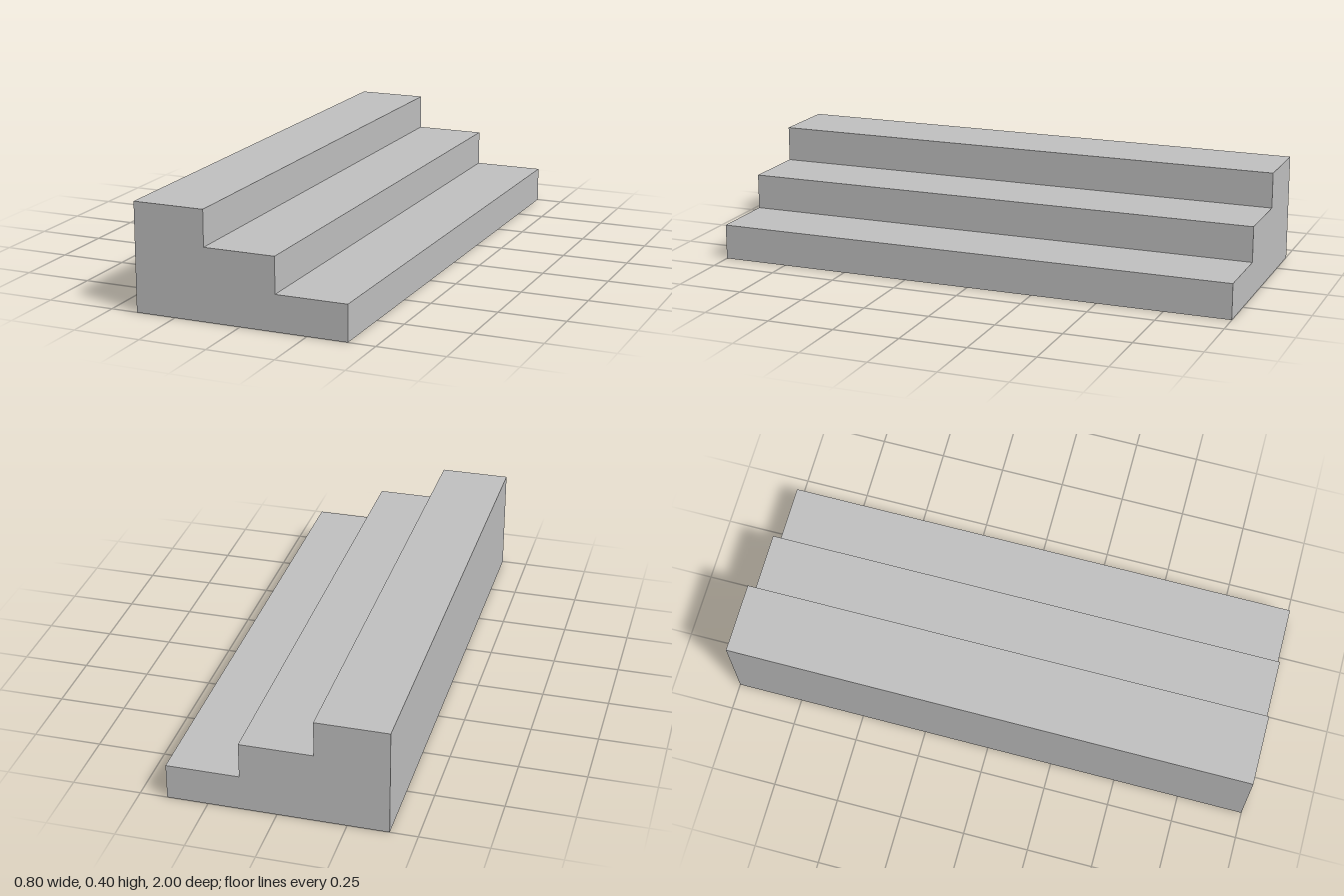
import * as THREE from 'three';

const STEPS = 3, WIDTH = 0.8, HEIGHT = 0.4, LENGTH = 2;

export function createModel() {
  const model = new THREE.Group();
  model.name = 'steps';
  const stone = new THREE.MeshStandardMaterial({ color: 0xc0c0c0 });
  stone.name = 'light grey';

  // Stair profile, climbing from +x to -x
  const run = WIDTH / STEPS, rise = HEIGHT / STEPS;
  const profile = new THREE.Shape();
  profile.moveTo(-WIDTH / 2, 0);
  profile.lineTo(WIDTH / 2, 0);
  for (let i = 0; i < STEPS; i++) {
    const x = WIDTH / 2 - i * run, y = (i + 1) * rise;
    profile.lineTo(x, y);
    profile.lineTo(x - run, y);
  }
  profile.closePath();

  // One solid block of steps along z
  const geometry = new THREE.ExtrudeGeometry(profile, { depth: LENGTH, bevelEnabled: false });
  geometry.translate(0, 0, -LENGTH / 2);
  const block = new THREE.Mesh(geometry, stone);
  block.name = 'stairBlock';
  model.add(block);
  return model;
}
